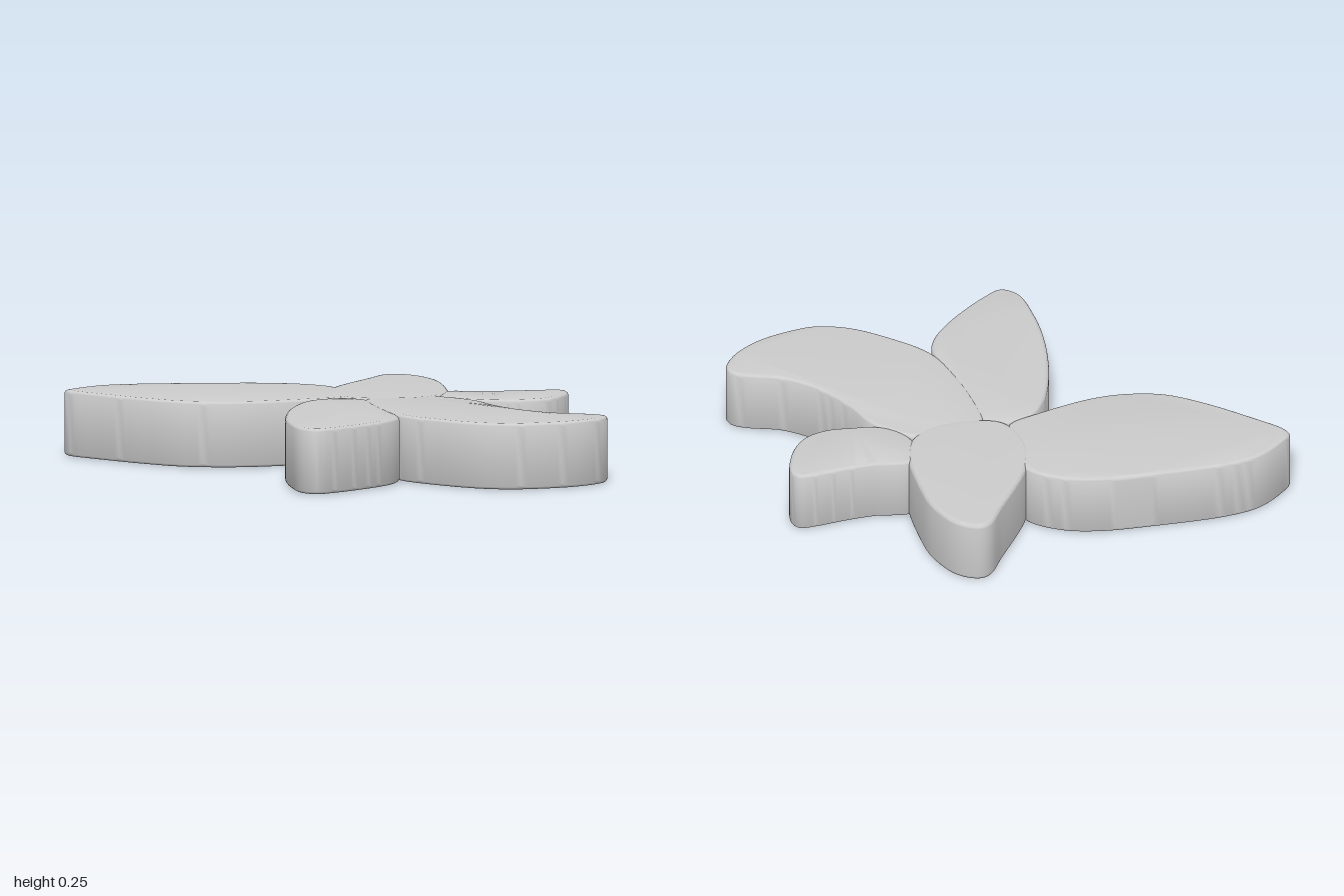
import * as THREE from 'three';
import { toCreasedNormals } from 'three/addons/utils/BufferGeometryUtils.js';

const HEIGHT = 0.25;
const BEVEL = 0.016;

// Petal outlines as [x, z] points, joined by a smooth closed curve
const petals = {
  backPetal: [
    [0.01, -0.41], [0.14, -0.63], [0.2, -0.725], [0.245, -0.74], [0.325, -0.7],
    [0.395, -0.58], [0.42, -0.45], [0.427, -0.24], [0.39, -0.145], [0.31, -0.085],
    [0.17, -0.068], [0.045, -0.1], [-0.012, -0.2], [-0.02, -0.3],
  ],
  frontLeftPetal: [
    [0.38, -0.14], [0.46, -0.09], [0.53, -0.02], [0.59, 0.1], [0.68, 0.22],
    [0.8, 0.31], [0.93, 0.35], [0.985, 0.38], [0.997, 0.42], [0.96, 0.49],
    [0.85, 0.57], [0.7, 0.615], [0.62, 0.622], [0.5, 0.59], [0.36, 0.5],
    [0.23, 0.38], [0.16, 0.22], [0.12, 0.05], [0.11, -0.07], [0.16, -0.11], [0.27, -0.14],
  ],
  rightPetal: [
    [-1, -0.36], [-0.97, -0.4], [-0.87, -0.48], [-0.75, -0.515], [-0.45, -0.53],
    [-0.24, -0.525], [-0.1, -0.49], [0.01, -0.41], [0.03, -0.3], [0.04, -0.18],
    [0.02, -0.115], [-0.1, -0.065], [-0.3, -0.01], [-0.43, -0.002], [-0.58, -0.03],
    [-0.72, -0.11], [-0.9, -0.25], [-0.98, -0.32],
  ],
  frontPetal: [
    [-0.08, -0.07], [-0.13, 0], [-0.18, 0.16], [-0.205, 0.38], [-0.195, 0.55],
    [-0.16, 0.69], [-0.1, 0.732], [-0.02, 0.69], [0.14, 0.55], [0.205, 0.46],
    [0.222, 0.39], [0.19, 0.25], [0.14, 0.05], [0.12, -0.06], [0.03, -0.11],
  ],
  leftPetal: [
    [0.42, -0.29], [0.56, -0.285], [0.68, -0.295], [0.78, -0.31], [0.85, -0.31],
    [0.875, -0.27], [0.86, -0.18], [0.82, -0.1], [0.77, -0.055], [0.69, -0.03],
    [0.6, -0.033], [0.52, -0.04], [0.43, -0.09], [0.38, -0.2],
  ],
};

// Flat slab with softly rounded rims; inset keeps overlapping faces apart
function makePetal(outline, inset) {
  const curve = new THREE.CatmullRomCurve3(
    outline.map(([x, z]) => new THREE.Vector3(x, z, 0)), true, 'centripetal');
  const points = curve.getSpacedPoints(110).slice(0, -1);
  const shape = new THREE.Shape(points.map((p) => new THREE.Vector2(p.x, p.y)));
  const geometry = new THREE.ExtrudeGeometry(shape, {
    depth: HEIGHT - 2 * (BEVEL + inset),
    bevelThickness: BEVEL,
    bevelSize: BEVEL,
    bevelOffset: -BEVEL,
    bevelSegments: 4,
  });
  // Lay the slab down: shape y becomes z, thickness becomes y
  geometry.rotateX(Math.PI / 2);
  geometry.translate(0, HEIGHT - BEVEL - inset, 0);
  return toCreasedNormals(geometry, 0.7);
}

export function createModel() {
  const model = new THREE.Group();
  model.name = 'flower';
  const material = new THREE.MeshStandardMaterial({ color: 0xcccccc });
  Object.entries(petals).forEach(([name, outline], layer) => {
    const petal = new THREE.Mesh(makePetal(outline, layer * 0.0006), material);
    petal.name = name;
    model.add(petal);
  });
  return model;
}
